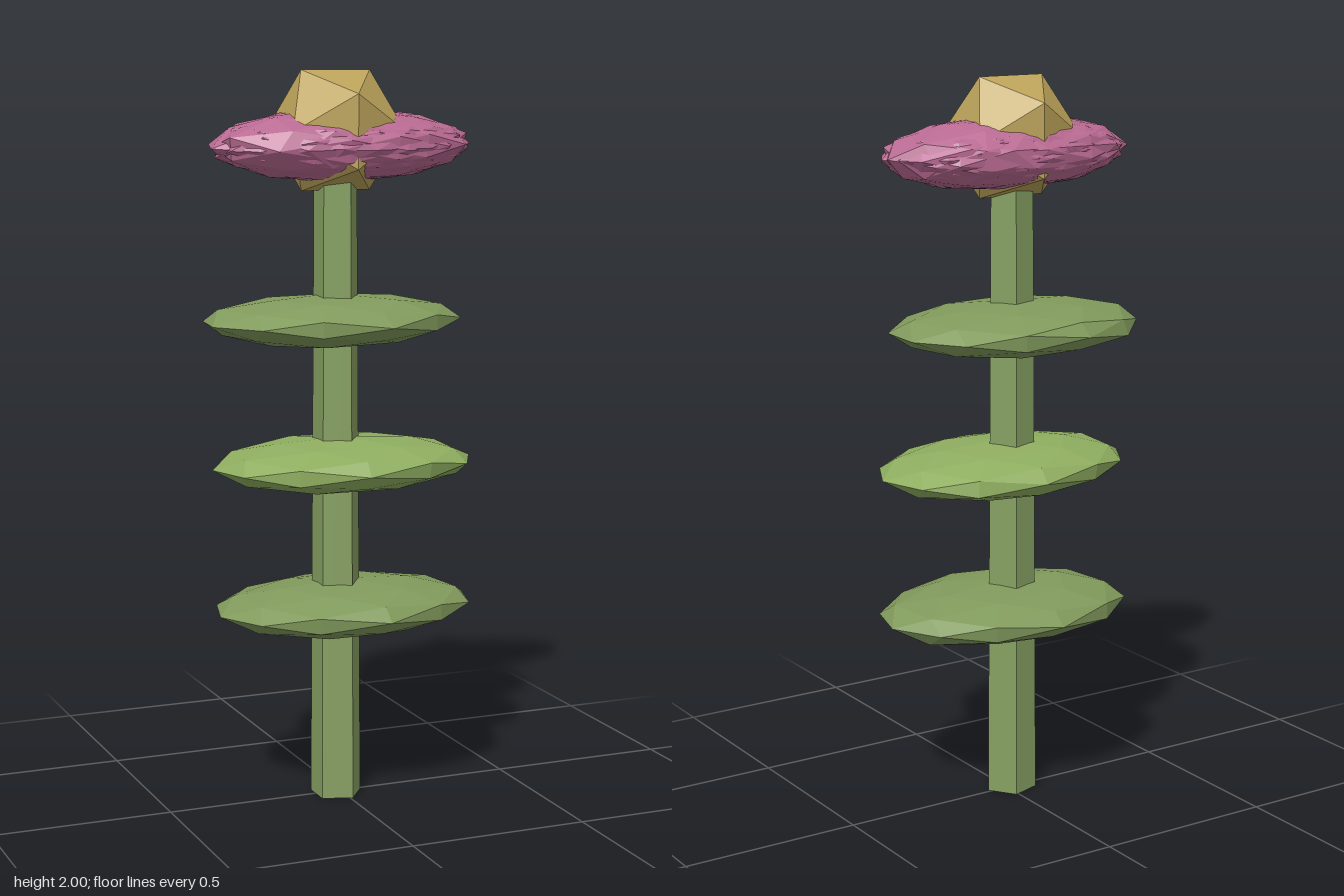
import * as THREE from 'three';

const material = (color) => new THREE.MeshStandardMaterial({ color, flatShading: true });

// Repeatable value in -1..1 from a point, so shared corners move together
function noise(x, y, z, seed) {
  const r = (n) => Math.round(n * 1000) / 1000 + 0;
  const s = Math.sin(r(x) * 127.1 + r(y) * 311.7 + r(z) * 74.7 + seed * 19.3) * 43758.5453;
  return (s - Math.floor(s)) * 2 - 1;
}

// Faceted ball, turned, roughened, then flattened to the given half sizes
function facetedBlob({ size, turn = 0, tilt = 0, rough = 0, stretch = 0, seed = 0 }) {
  const geometry = new THREE.IcosahedronGeometry(1, 1);
  const p = geometry.attributes.position;
  const v = new THREE.Vector3();
  const rotation = new THREE.Euler(tilt, turn, 0);
  for (let i = 0; i < p.count; i++) {
    v.fromBufferAttribute(p, i);
    const n = noise(v.x, v.y, v.z, seed);
    v.applyEuler(rotation).multiplyScalar(1 + rough * n);
    v.x *= 1 + stretch * n;
    p.setXYZ(i, v.x * size[0], v.y * size[1], v.z * size[2]);
  }
  geometry.computeVertexNormals();
  return geometry;
}

export function createModel() {
  const group = new THREE.Group();
  const add = (name, geometry, mat, x, y, z) => {
    const mesh = new THREE.Mesh(geometry, mat);
    mesh.name = name;
    mesh.position.set(x, y, z);
    group.add(mesh);
    return mesh;
  };

  // Five-sided tapering stem with one edge towards +x
  const stem = add('stem', new THREE.CylinderGeometry(0.061, 0.073, 1.75, 5), material(0x86a062), -0.015, 0.875, 0.008);
  stem.rotation.y = Math.PI / 2;

  // Three flat leaf discs up the stem
  const leaves = [
    { x: 0.01, y: 0.54, z: 0.01, size: [0.37, 0.071, 0.262], color: 0x819a5c, turn: 0.08 },
    { x: 0, y: 0.94, z: 0.022, size: [0.37, 0.071, 0.256], color: 0x8fae60, turn: -0.06 },
    { x: -0.02, y: 1.33, z: -0.01, size: [0.362, 0.07, 0.265], color: 0x819a5c, turn: 0.2 },
  ];
  leaves.forEach((leaf, i) => {
    add('leaf' + (i + 1), facetedBlob({ ...leaf, rough: 0.025, seed: i }), material(leaf.color), leaf.x, leaf.y, leaf.z);
  });

  // Overlapping turned petals make the jagged bloom
  const petalMaterial = material(0xb96a92);
  const petalCount = 8;
  for (let i = 0; i < petalCount; i++) {
    const angle = (i / petalCount) * Math.PI * 2;
    const geometry = facetedBlob({
      size: [0.355, 0.098, 0.175],
      turn: angle + i * 0.05,
      tilt: i * 0.04,
      stretch: 0.05,
      seed: i + 5,
    });
    add('petal' + (i + 1), geometry, petalMaterial, 0.015 * Math.cos(angle), 1.8, 0.005 * Math.sin(angle));
  }

  // Faceted flower centre
  add('flowerCentre', new THREE.IcosahedronGeometry(0.188, 0), material(0xbca35a), -0.015, 1.84, 0.005);

  return group;
}
